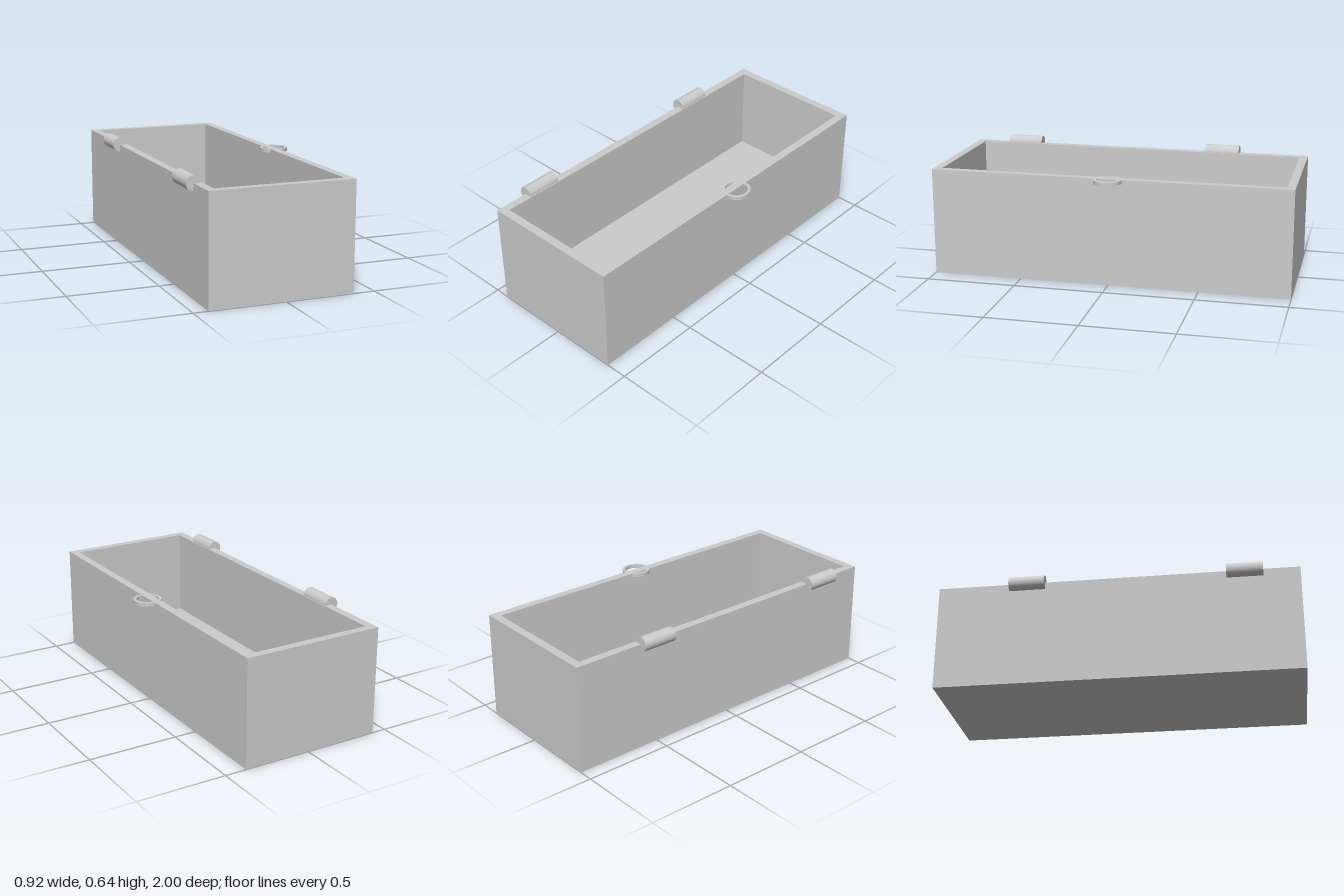
import * as THREE from 'three';

const material = new THREE.MeshStandardMaterial({ color: 0xcccccc });

function addMesh(parent, geometry, name, x, y, z) {
  const mesh = new THREE.Mesh(geometry, material);
  mesh.name = name;
  mesh.position.set(x, y, z);
  parent.add(mesh);
  return mesh;
}

// Rectangle outline centred on the origin
function rectangle(PathType, w, d) {
  const p = new PathType();
  p.moveTo(-w / 2, -d / 2);
  p.lineTo(w / 2, -d / 2);
  p.lineTo(w / 2, d / 2);
  p.lineTo(-w / 2, d / 2);
  p.closePath();
  return p;
}

export function createModel() {
  const model = new THREE.Group();
  model.name = 'openBox';

  const width = 0.8, depth = 2, height = 0.6, wall = 0.046, floor = 0.1;
  const centreX = -0.02;

  // Four walls as one extruded frame, closed by a thick floor
  const frame = rectangle(THREE.Shape, width, depth);
  frame.holes.push(rectangle(THREE.Path, width - 2 * wall, depth - 2 * wall));
  const walls = new THREE.ExtrudeGeometry(frame, { depth: height, bevelEnabled: false });
  walls.rotateX(-Math.PI / 2);
  addMesh(model, walls, 'walls', centreX, 0, 0);
  addMesh(model, new THREE.BoxGeometry(width - 2 * wall, floor, depth - 2 * wall),
    'floor', centreX, floor / 2, 0);

  // Hinge barrels sunk into the outer top edge
  const barrel = new THREE.CylinderGeometry(0.04, 0.04, 0.2, 48);
  barrel.rotateX(Math.PI / 2);
  for (const z of [0.7, -0.5]) {
    addMesh(model, barrel, 'hinge', centreX - width / 2, height, z);
  }

  // Flat pull ring through the opposite wall, flush with the rim
  const outline = new THREE.Shape().absarc(0, 0, 0.078, 0, Math.PI * 2, false);
  outline.holes.push(new THREE.Path().absarc(0, 0, 0.061, 0, Math.PI * 2, true));
  const ring = new THREE.ExtrudeGeometry(outline, {
    depth: 0.02, bevelEnabled: false, curveSegments: 48,
  });
  ring.rotateX(-Math.PI / 2);
  addMesh(model, ring, 'pullRing', centreX + width / 2, height - 0.02, 0);

  return model;
}
